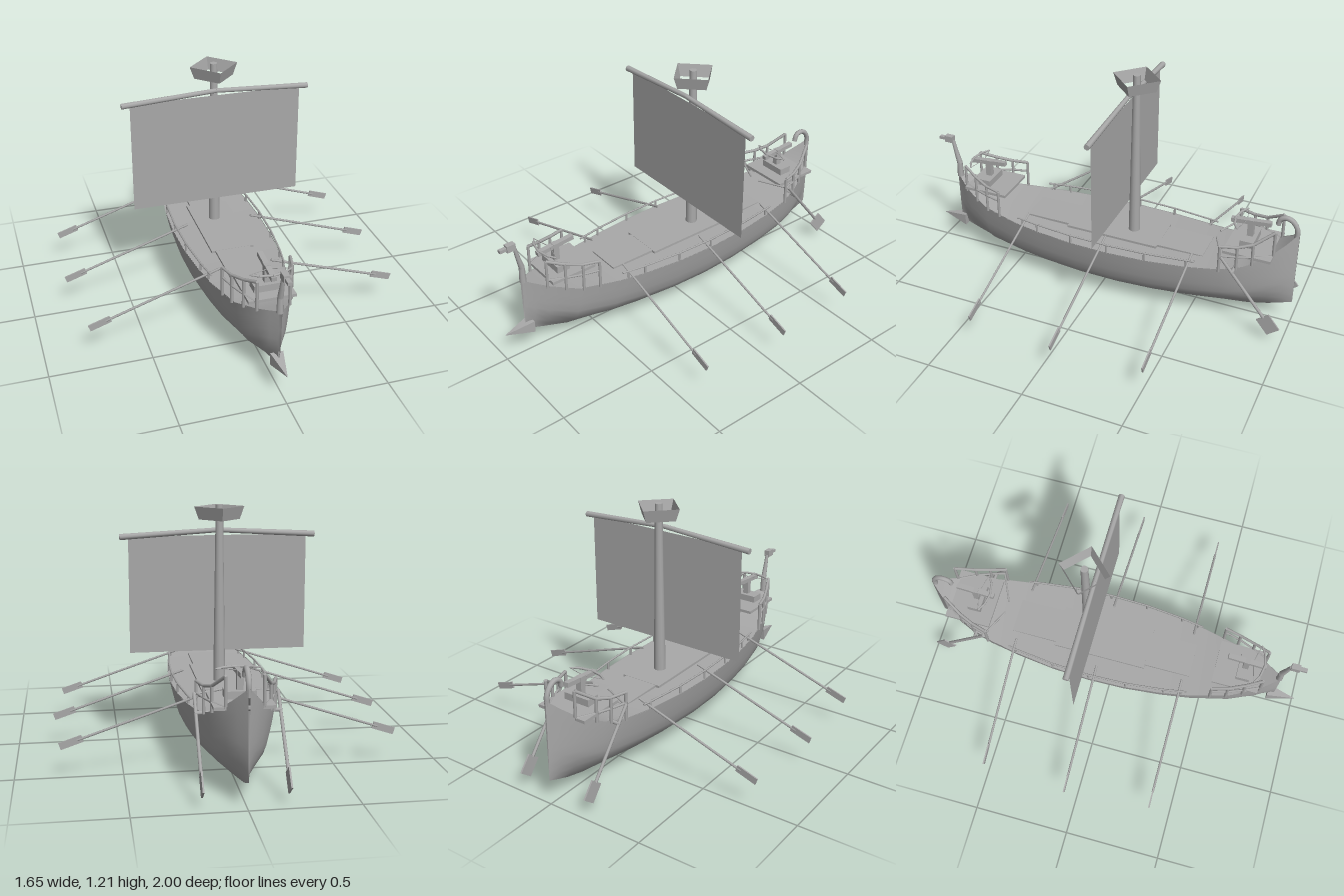
import * as THREE from 'three';

const gray = new THREE.MeshStandardMaterial({ color: 0xa9a9a9, side: THREE.DoubleSide });
gray.name = 'plain gray';

// hull stations: z, half width, gunwale height, keel height
const stations = [
  [-1, 0.004, 0.54, 0.13], [-0.95, 0.045, 0.49, 0.11], [-0.88, 0.095, 0.43, 0.085], [-0.77, 0.145, 0.375, 0.057],
  [-0.66, 0.177, 0.35, 0.045], [-0.5, 0.205, 0.338, 0.027], [-0.3, 0.23, 0.333, 0.012], [-0.1, 0.24, 0.331, 0.004],
  [0.1, 0.235, 0.331, 0.005], [0.3, 0.215, 0.334, 0.015], [0.45, 0.19, 0.338, 0.028], [0.65, 0.138, 0.352, 0.055],
  [0.78, 0.083, 0.395, 0.1], [0.84, 0.04, 0.415, 0.122], [0.885, 0.008, 0.432, 0.14],
];
// cross-section from gunwale to keel, as fractions of width and height
const section = [[1, 1], [0.95, 0.82], [0.89, 0.64], [0.82, 0.48], [0.72, 0.36], [0.5, 0.215], [0.25, 0.1], [0, 0]];

function gunwale(z) {
  let i = 0;
  while (i < stations.length - 2 && stations[i + 1][0] < z) i++;
  const a = stations[i], b = stations[i + 1], t = (z - a[0]) / (b[0] - a[0]);
  return { x: a[1] + (b[1] - a[1]) * t, y: a[2] + (b[2] - a[2]) * t };
}

// surface through rows of points
function loft(rows, flip) {
  const n = rows[0].length, index = [];
  for (let i = 0; i < rows.length - 1; i++) {
    for (let j = 0; j < n - 1; j++) {
      const a = i * n + j, b = a + 1, c = a + n, d = c + 1;
      index.push(...(flip ? [a, b, c, b, d, c] : [a, c, b, b, c, d]));
    }
  }
  const g = new THREE.BufferGeometry();
  g.setAttribute('position', new THREE.Float32BufferAttribute(rows.flat(2), 3));
  g.setIndex(index);
  g.computeVertexNormals();
  return g;
}

function add(parent, name, geometry, x = 0, y = 0, z = 0) {
  const m = new THREE.Mesh(geometry, gray);
  m.name = name;
  m.position.set(x, y, z);
  parent.add(m);
  return m;
}

const box = (parent, name, w, h, d, x, y, z) => add(parent, name, new THREE.BoxGeometry(w, h, d), x, y, z);

// round bar from a to b
function bar(parent, name, a, b, r, r2 = r, sides = 8) {
  const p = new THREE.Vector3(...a), q = new THREE.Vector3(...b), d = q.clone().sub(p);
  const m = add(parent, name, new THREE.CylinderGeometry(r2, r, d.length(), sides));
  m.position.copy(p).add(q).multiplyScalar(0.5);
  m.quaternion.setFromUnitVectors(new THREE.Vector3(0, 1, 0), d.normalize());
  return m;
}

function group(parent, name) {
  const g = new THREE.Group();
  g.name = name;
  parent.add(g);
  return g;
}

// bolt thrower on a pedestal; arms at the outer end
function boltThrower(parent, name, y, z, armZ) {
  const g = group(parent, name);
  box(g, 'pedestal', 0.14, 0.035, 0.07, 0, y + 0.018, z);
  box(g, 'post', 0.03, 0.1, 0.03, 0, y + 0.075, z);
  const stock = box(g, 'stock', 0.026, 0.022, 0.2, 0, 0.548, z);
  stock.rotation.x = 0.09;
  for (const s of [-1, 1]) {
    bar(g, 'bowArm', [0, 0.553, armZ + 0.03], [s * 0.06, 0.553, armZ + 0.018], 0.006);
    bar(g, 'bowArm', [s * 0.06, 0.553, armZ + 0.018], [s * 0.1, 0.553, armZ - 0.006], 0.006, 0.004);
    bar(g, 'bowString', [s * 0.1, 0.553, armZ - 0.006], [0, 0.553, armZ - 0.03], 0.002, 0.002, 4);
  }
}

// railing along the gunwale: posts are [z, top height]
function railing(parent, name, posts, side) {
  const g = group(parent, name);
  const at = (z, y) => [side * (gunwale(z).x + 0.003), y, z];
  posts.forEach(([z, top], i) => {
    bar(g, 'railPost', at(z, gunwale(z).y - 0.01), at(z, top), 0.008, 0.008, 6);
    if (!i) return;
    const [pz, pt] = posts[i - 1];
    bar(g, 'topRail', at(pz, pt), at(z, top), 0.008, 0.008, 6);
    bar(g, 'middleRail', at(pz, 0.432), at(z, 0.432), 0.006, 0.006, 6);
  });
}

export function createModel() {
  const ship = new THREE.Group();
  ship.name = 'ship';

  // hull halves and deck
  for (const s of [-1, 1]) {
    const rows = stations.map(([z, w, top, keel]) =>
      section.map(([u, v]) => [s * w * u, keel + (top - keel) * v, z]));
    add(ship, 'hullSide', loft(rows, s < 0));
  }
  add(ship, 'deck', loft(stations.map(([z, w, top]) => [[-w, top - 0.003, z], [w, top - 0.003, z]]), false));
  box(ship, 'deckHatch', 0.18, 0.012, 0.97, 0, 0.336, -0.065);
  box(ship, 'wideHatch', 0.22, 0.012, 0.49, 0, 0.337, -0.065);

  // fighting platforms
  box(ship, 'bowPlatform', 0.23, 0.015, 0.24, 0, 0.427, 0.66);
  box(ship, 'sternPlatform', 0.27, 0.015, 0.24, 0, 0.427, -0.78);
  boltThrower(ship, 'bowBoltThrower', 0.435, 0.69, 0.75);
  boltThrower(ship, 'sternBoltThrower', 0.435, -0.76, -0.71);

  // ram: square pyramid
  const ram = add(ship, 'ram', new THREE.ConeGeometry(0.045, 0.15, 4).toNonIndexed().rotateY(Math.PI / 4).rotateX(Math.PI / 2), 0, 0.152, 0.925);
  ram.geometry.computeVertexNormals();

  // figurehead
  const neck = [[0.875, 0.42], [0.875, 0.5], [0.89, 0.56], [0.905, 0.63]];
  neck.slice(1).forEach((p, i) => bar(ship, 'figureheadNeck', [0, neck[i][1], neck[i][0]], [0, p[1], p[0]], 0.018 - i * 0.003, 0.015 - i * 0.003));
  box(ship, 'figureheadHead', 0.03, 0.035, 0.045, 0, 0.638, 0.925);
  box(ship, 'figureheadSnout', 0.02, 0.016, 0.05, 0, 0.637, 0.958);

  // curled sternpost
  const curl = new THREE.CatmullRomCurve3([[0.5, -0.985], [0.56, -0.985], [0.598, -0.96], [0.61, -0.93], [0.597, -0.9], [0.565, -0.89]]
    .map(([y, z]) => new THREE.Vector3(0, y, z)));
  add(ship, 'sternCurl', new THREE.TubeGeometry(curl, 20, 0.013, 8));

  // mast, open lookout, bent yard and sail
  bar(ship, 'mast', [0, 0.33, -0.15], [0, 1.215, -0.15], 0.03, 0.018, 12);
  const nest = new THREE.CylinderGeometry(0.122, 0.1, 0.062, 4, 1, true).toNonIndexed();
  nest.computeVertexNormals();
  add(ship, 'lookout', nest, 0, 1.175, -0.15);
  add(ship, 'sail', new THREE.PlaneGeometry(0.876, 0.577), 0, 0.773, -0.105);

  for (const s of [-1, 1]) {
    bar(ship, 'yard', [0, 1.087, -0.105], [s * 0.48, 1.06, -0.105], 0.012, 0.015);

    // low side rail
    const rail = group(ship, 'sideRail');
    const zs = [-0.54, -0.5, -0.29, -0.09, 0.11, 0.31, 0.4, 0.43];
    const at = (z, y) => [s * (gunwale(z).x - 0.008), y, z];
    zs.forEach((z, i) => {
      if (i) bar(rail, 'rail', at(zs[i - 1], 0.37), at(z, 0.37), 0.005, 0.005, 6);
      if (i && i < 7) bar(rail, 'railPost', at(z, 0.325), at(z, 0.37), 0.006, 0.006, 6);
    });

    railing(ship, 'bowRailing', [[0.55, 0.485], [0.63, 0.49], [0.71, 0.51], [0.79, 0.54]], s);
    railing(ship, 'sternRailing', [[-0.66, 0.487], [-0.74, 0.487], [-0.81, 0.505], [-0.9, 0.57]], s);

    // rowing oars
    for (const [z, tip] of [[0.39, 0.78], [-0.06, 0.82], [-0.51, 0.79]]) {
      const oar = group(ship, 'oar');
      const slope = -0.335, y = (x) => 0.158 + (x - tip) * slope;
      bar(oar, 'oarShaft', [s * (tip - 0.65), y(tip - 0.65), z], [s * (tip - 0.08), y(tip - 0.08), z], 0.006, 0.006, 6);
      const blade = box(oar, 'oarBlade', 0.11, 0.034, 0.007, s * (tip - 0.052), y(tip - 0.052), z);
      blade.rotation.z = s * Math.atan(slope);
    }

    // steering oar and tiller
    const steer = group(ship, 'steeringOar');
    bar(steer, 'steeringShaft', [s * 0.19, 0.435, -0.67], [s * 0.19, 0.14, -0.905], 0.008);
    const blade = box(steer, 'steeringBlade', 0.008, 0.095, 0.075, s * 0.19, 0.105, -0.93);
    blade.rotation.x = Math.atan2(0.235, 0.295);
    bar(steer, 'tiller', [s * 0.19, 0.43, -0.675], [s * 0.03, 0.43, -0.6], 0.005);
    bar(steer, 'steeringBracket', [s * 0.13, 0.36, -0.73], [s * 0.195, 0.36, -0.73], 0.009);
  }
  return ship;
}
